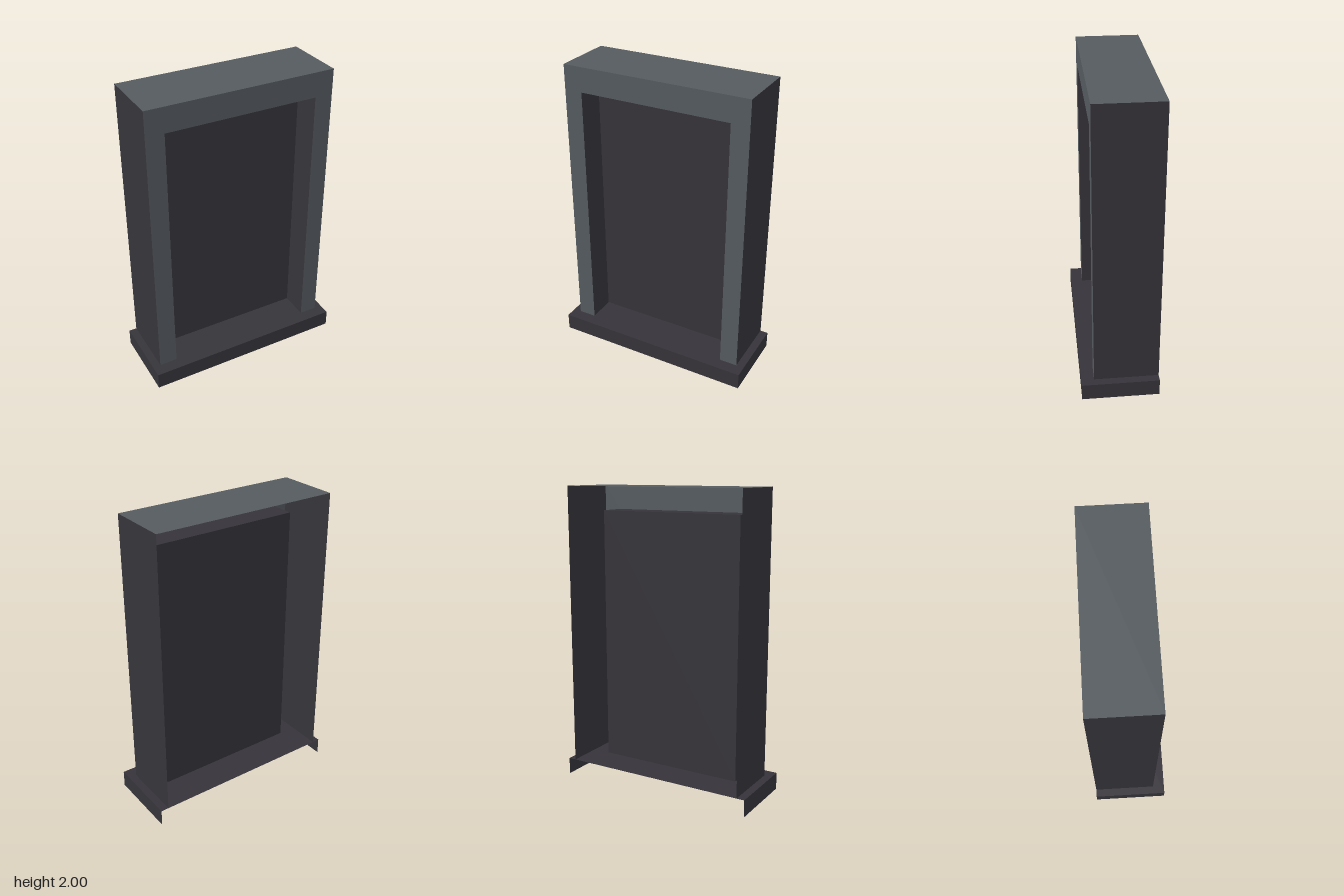
import * as THREE from 'three';

// Key dimensions
const BASE_X = 0.68, BASE_Y = 0.114;
const OUT_X = 0.627, IN_X = 0.506, TOP_Y = 2, IN_Y = 1.836;
const BACK = -0.252, PANEL_Z = -0.022, FACE_Z = 0.17, BASE_Z = 0.252;

const paint = (name, color) => {
  const m = new THREE.MeshStandardMaterial({ color, side: THREE.DoubleSide });
  m.name = name;
  return m;
};

export function createModel() {
  const stone = paint('slate grey', 0x555b60);
  const dark = paint('dark charcoal', 0x36343a);
  const model = new THREE.Group();
  model.name = 'framedDoorway';

  const add = (name, geometry, material) => {
    const mesh = new THREE.Mesh(geometry, material);
    mesh.name = name;
    model.add(mesh);
  };
  // Thin walls facing front (z), up/down (y) and sideways (x)
  const wallZ = (name, hx, y0, y1, z, mat) =>
    add(name, new THREE.PlaneGeometry(2 * hx, y1 - y0).translate(0, (y0 + y1) / 2, z), mat);
  const wallY = (name, hx, y, z0, z1, mat, facing = 1) =>
    add(name, new THREE.PlaneGeometry(2 * hx, z1 - z0).rotateX(-facing * Math.PI / 2).translate(0, y, (z0 + z1) / 2), mat);
  const wallX = (name, x, y0, y1, z0, z1, mat, facing) =>
    add(name, new THREE.PlaneGeometry(z1 - z0, y1 - y0).rotateY(facing * Math.PI / 2).translate(x, (y0 + y1) / 2, (z0 + z1) / 2), mat);

  // Front frame: an arch-shaped face, open at the bottom
  const outline = new THREE.Shape([
    [-OUT_X, BASE_Y], [-IN_X, BASE_Y], [-IN_X, IN_Y], [IN_X, IN_Y],
    [IN_X, BASE_Y], [OUT_X, BASE_Y], [OUT_X, TOP_Y], [-OUT_X, TOP_Y],
  ].map(([x, y]) => new THREE.Vector2(x, y)));
  add('frontFrame', new THREE.ShapeGeometry(outline).translate(0, 0, FACE_Z), stone);
  wallY('roof', OUT_X, TOP_Y, BACK, FACE_Z, stone);

  // Recessed panel and its ceiling
  wallZ('panel', IN_X, BASE_Y, IN_Y, PANEL_Z, dark);
  wallY('recessCeiling', IN_X, IN_Y, PANEL_Z, FACE_Z, dark, -1);

  // Base: top and front, open underneath and behind
  wallY('baseTop', BASE_X, BASE_Y, BACK, BASE_Z, dark);
  wallZ('baseFront', BASE_X, 0, BASE_Y, BASE_Z, dark);

  // Mirrored side walls
  for (const [side, s] of [['left', 1], ['right', -1]]) {
    wallX(side + 'OuterWall', s * OUT_X, BASE_Y, TOP_Y, BACK, FACE_Z, dark, s);
    wallX(side + 'RecessWall', s * IN_X, BASE_Y, IN_Y, PANEL_Z, FACE_Z, dark, -s);
    wallX(side + 'BaseEnd', s * BASE_X, 0, BASE_Y, BACK, BASE_Z, dark, s);
  }
  return model;
}
